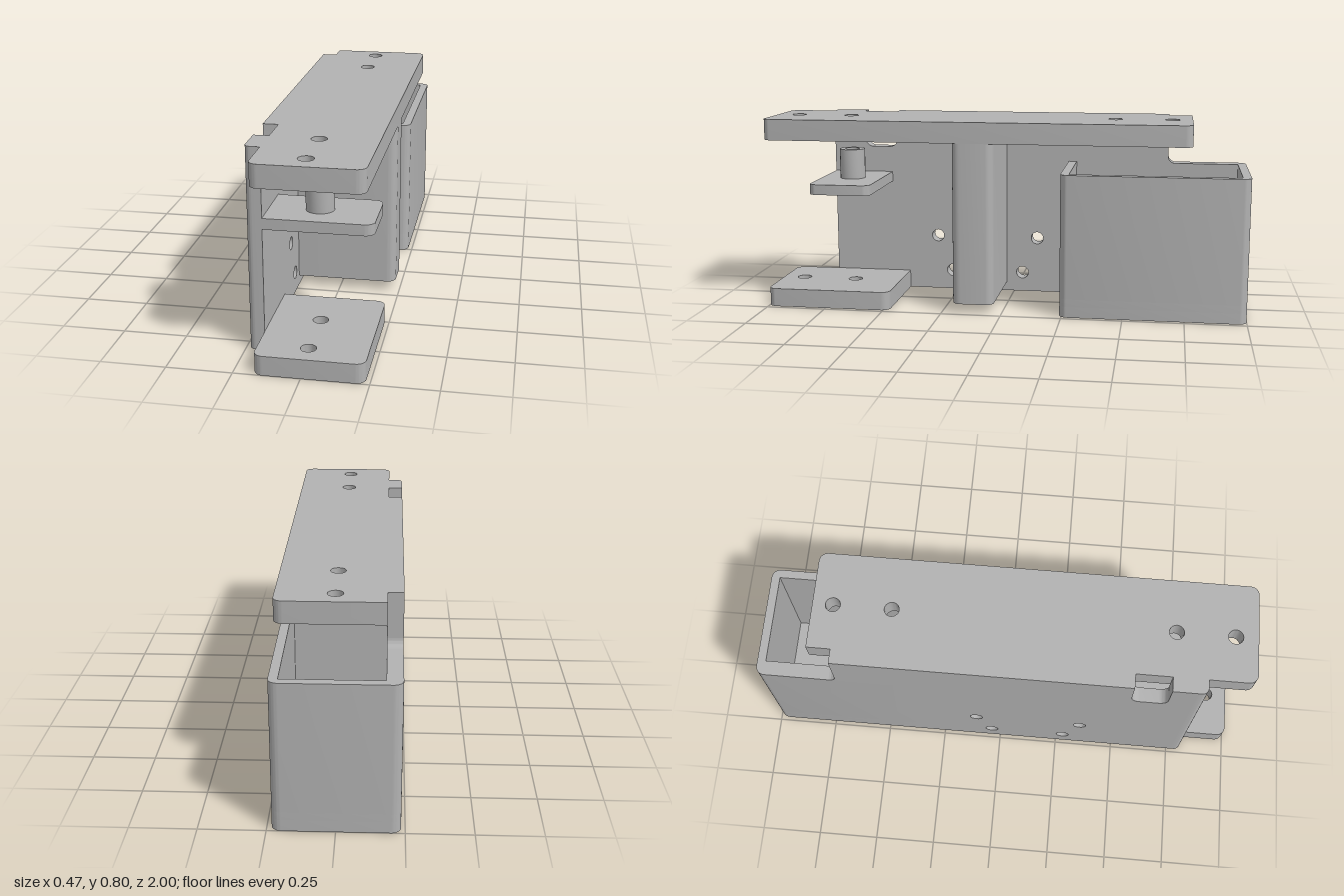
import * as THREE from 'three';
import { toCreasedNormals } from 'three/addons/utils/BufferGeometryUtils.js';

const XO = -0.235, XI = -0.175, XR = 0.233; // wall outer face, wall inner face, free side
const HX = 0.012, HR = 0.03;                // screw hole line and radius
const R = 0.036;                            // corner radius

// Closed outline from [x, y, radius] corners, with optional round holes [x, y, radius]
function outline(corners, holes = []) {
  const s = new THREE.Shape();
  const n = corners.length;
  const k = 0.5523;
  corners.forEach(([x, y, r = 0], i) => {
    const c = new THREE.Vector2(x, y);
    const toward = ([px, py]) => new THREE.Vector2(px, py).sub(c).normalize();
    const a = toward(corners[(i + n - 1) % n]);
    const b = toward(corners[(i + 1) % n]);
    const p = c.clone().addScaledVector(a, r);
    if (i === 0) s.moveTo(p.x, p.y); else s.lineTo(p.x, p.y);
    if (r > 0) {
      const q = c.clone().addScaledVector(b, r);
      const c1 = c.clone().addScaledVector(a, r * (1 - k));
      const c2 = c.clone().addScaledVector(b, r * (1 - k));
      s.bezierCurveTo(c1.x, c1.y, c2.x, c2.y, q.x, q.y);
    }
  });
  s.closePath();
  for (const [x, y, r] of holes) {
    const h = new THREE.Path();
    h.absarc(x, y, r, 0, Math.PI * 2, true);
    s.holes.push(h);
  }
  return s;
}

const extrude = (shape, depth) =>
  new THREE.ExtrudeGeometry(shape, { depth, bevelEnabled: false, curveSegments: 10 });

export function createModel() {
  const model = new THREE.Group();
  model.name = 'bracket';
  const grey = new THREE.MeshStandardMaterial({ color: 0xb2b2b2 });
  grey.name = 'grey';

  const add = (name, geometry) => {
    const mesh = new THREE.Mesh(toCreasedNormals(geometry, 0.6), grey);
    mesh.name = name;
    model.add(mesh);
  };
  // Horizontal slab: plan corners and holes in (x, z), between heights y0 and y1
  const slab = (name, corners, holes, y0, y1) => {
    const flip = ([x, z, r]) => [x, -z, r];
    const g = extrude(outline(corners.map(flip), holes.map(flip)), y1 - y0);
    add(name, g.rotateX(-Math.PI / 2).translate(0, y0, 0));
  };
  // Plan corners of a plate running from the wall to the free side
  const plate = (zFront, zBack, rInner = 0) =>
    [[XI, zFront, rInner], [XR, zFront, R], [XR, zBack, R], [XI, zBack]];
  const hole = (z) => [HX, z, HR];

  // Side wall with top slot, rear step and four screw holes; outline in (-z, y)
  const wall = outline([
    [-0.77, 0], [0.24, 0], [0.24, 0.59], [0.71, 0.59], [0.67, 0.59], [0.67, 0.797],
    [-0.525, 0.797], [-0.525, 0.64, R], [-0.67, 0.64, R], [-0.67, 0.797], [-0.77, 0.797],
  ].filter(([x]) => x !== 0.71),
  [[-0.345, 0.243, 0.027], [0.103, 0.243, 0.027], [-0.278, 0.085, 0.027], [0.037, 0.085, 0.027]]);
  add('sideWall', extrude(wall, XI - XO).rotateY(Math.PI / 2).translate(XO, 0, 0));

  // Fillet at the rear step
  const fillet = new THREE.Shape();
  fillet.moveTo(0.67, 0.59);
  fillet.lineTo(0.70, 0.59);
  fillet.absarc(0.70, 0.62, 0.03, -Math.PI / 2, -Math.PI, true);
  fillet.closePath();
  add('stepFillet', extrude(fillet, XI - XO).rotateY(Math.PI / 2).translate(XO, 0, 0));

  // Rounded front edge of the wall
  slab('wallFrontEdge', [[XO, 0.77], [XO, 0.81, 0.025], [XI, 0.81], [XI, 0.77]], [], 0, 0.797);

  // Top plate, bottom tab and the small shelf
  slab('topPlate', plate(1, -0.767, R), [0.91, 0.678, -0.45, -0.685].map(hole), 0.71, 0.797);
  slab('bottomTab', plate(1, 0.475, R), [0.91, 0.678].map(hole), 0, 0.077);
  slab('shelf', plate(0.81, 0.55), [hole(0.678)], 0.485, 0.528);

  // Hollow pin on the shelf
  const pin = new THREE.Shape();
  pin.absarc(0.014, -0.678, 0.054, 0, Math.PI * 2);
  const bore = new THREE.Path();
  bore.absarc(HX, -0.678, HR, 0, Math.PI * 2, true);
  pin.holes.push(bore);
  add('pin', extrude(pin, 0.126).rotateX(-Math.PI / 2).translate(0, 0.528, 0));

  // Upright rib in the middle
  slab('rib', plate(0.205, 0.033), [], 0.04, 0.71);

  // Open box at the back: floor with blind holes below, then four walls
  const plan = [[XO, -0.24], [XR, -0.24, R], [XR, -1, R], [XO, -1, R]];
  slab('boxFloorLower', plan, [-0.45, -0.685].map(hole), 0, 0.045);
  slab('boxFloorUpper', plan, [], 0.045, 0.077);
  const ring = outline(plan.map(([x, z, r]) => [x, -z, r]));
  ring.holes.push(outline([[XI, 0.275], [XI, 0.965], [0.198, 0.965], [0.198, 0.275]]));
  add('boxWalls', extrude(ring, 0.59 - 0.077).rotateX(-Math.PI / 2).translate(0, 0.077, 0));

  return model;
}
